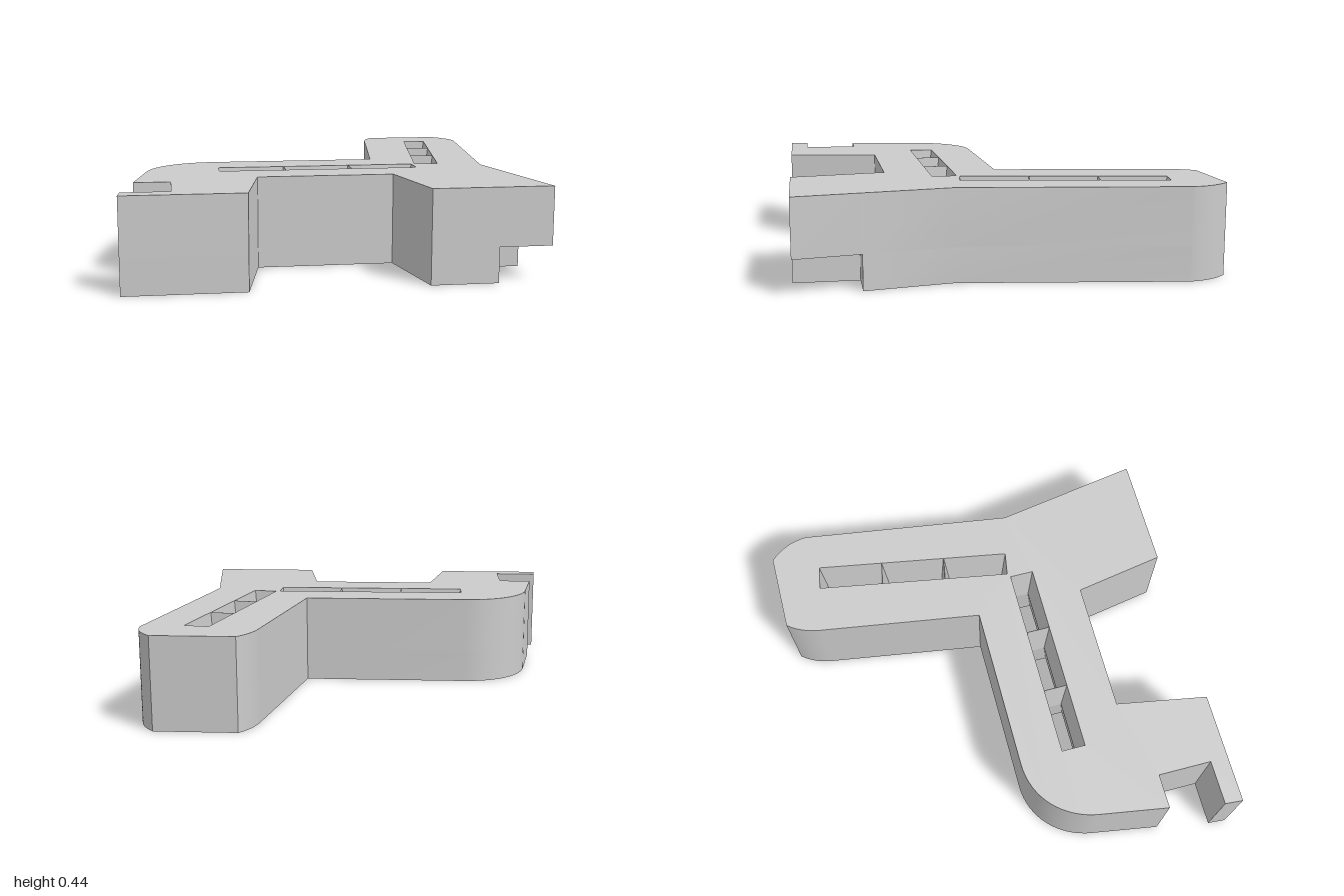
import * as THREE from 'three';
import { toCreasedNormals } from 'three/addons/utils/BufferGeometryUtils.js';

const H = 0.442;         // thickness of the slab
const NOTCH_H = 0.167;   // height of the notch under the rear foot

// Outline in plan; points are (x, z), counter-clockwise seen from above
function outline(notched) {
  const s = new THREE.Shape();
  const line = (...pts) => pts.forEach(([x, z]) => s.lineTo(x, -z));
  s.moveTo(-0.987, -1);
  line([-0.428, 1], [-0.348, 0.545], [0.311, 0.545], [0.391, 1]);
  if (notched) line([0.707, 1], [0.707, 0.69], [0.903, 0.69]);
  else line([0.956, 1], [0.903, 0.69]);
  line([0.831, 0.27], [0.987, -0.8]);
  s.quadraticCurveTo(0.985, 0.91, 0.896, 1);
  line([0.506, -1]);
  s.quadraticCurveTo(0.445, 0.93, 0.431, 0.82);
  line([0.306, -0.01], [-0.53, -0.01]);
  s.bezierCurveTo(-0.72, 0.01, -0.85, -0.13, -0.875, -0.3);
  line([-0.93, 0.64], [-0.758, 0.64], [-0.758, 0.91], [-0.98, 0.91]);
  return s;
}

// Rectangular cells of one slot, each a mouth ring and a narrower waist ring
function slotCells(cx, cz, angle) {
  const cells = [];
  const ring = (mid, hl, hw) =>
    [[-hl, -hw], [hl, -hw], [hl, hw], [-hl, hw]].map(([u, v]) =>
      new THREE.Vector2(mid + u, v).rotateAround(new THREE.Vector2(), angle)
        .add(new THREE.Vector2(cx, -cz)));
  for (let i = -1; i <= 1; i++) {
    const mid = i * 0.333;
    cells.push({ mouth: ring(mid, 0.1655, 0.06), waist: ring(mid, 0.144, 0.036) });
  }
  return cells;
}

// Wall between two matching closed rings, facing outwards for counter-clockwise rings
function wall(lower, y0, upper, y1, inward = false) {
  const pos = [];
  lower.forEach((a, i) => {
    const j = (i + 1) % lower.length;
    const b = lower[j];
    const A = [a.x, y0, -a.y], B = [b.x, y0, -b.y];
    const C = [upper[j].x, y1, -upper[j].y], D = [upper[i].x, y1, -upper[i].y];
    pos.push(...(inward ? [A, C, B, A, D, C] : [A, B, C, A, C, D]).flat());
  });
  const g = new THREE.BufferGeometry();
  g.setAttribute('position', new THREE.Float32BufferAttribute(pos, 3));
  return toCreasedNormals(g, 0.5);
}

// Flat horizontal face
function cap(shape, y, down = false) {
  const g = new THREE.ShapeGeometry(shape, 16);
  if (down) {
    const idx = g.index.array;
    for (let i = 0; i < idx.length; i += 3) [idx[i], idx[i + 1]] = [idx[i + 1], idx[i]];
  }
  g.rotateX(-Math.PI / 2).translate(0, y, 0);
  g.computeVertexNormals();
  return g;
}

export function createModel() {
  const grey = new THREE.MeshStandardMaterial({ color: 0xcccccc });
  grey.name = 'grey';
  const model = new THREE.Group();
  model.name = 'benchEndBracket';
  const add = (name, geometry) => {
    const mesh = new THREE.Mesh(geometry, grey);
    mesh.name = name;
    model.add(mesh);
  };

  const full = outline(false), notched = outline(true);

  // Outer walls, split at the notch height
  const fullRing = full.getPoints(16), notchedRing = notched.getPoints(16);
  add('lowerWall', wall(notchedRing, 0, notchedRing, NOTCH_H));
  add('upperWall', wall(fullRing, NOTCH_H, fullRing, H));

  // Slots in the seat and the back, with walls pinched in at mid height
  const cells = [
    ...slotCells(-0.019, 0.2675, 0),
    ...slotCells(0.645, -0.287, Math.atan2(0.98, 0.17)),
  ];
  cells.forEach(({ mouth, waist }) => {
    const hole = new THREE.Path([...mouth].reverse());
    full.holes.push(hole);
    notched.holes.push(hole);
    add('slotLowerWall', wall(mouth, 0, waist, H / 2, true));
    add('slotUpperWall', wall(waist, H / 2, mouth, H, true));
  });

  // Broad faces
  add('topFace', cap(full, H));
  add('bottomFace', cap(notched, 0, true));

  // Ceiling of the foot notch
  const ceiling = new THREE.Shape([[0.707, -1], [0.956, -1], [0.903, -0.69], [0.707, -0.69]]
    .map(([x, y]) => new THREE.Vector2(x, y)));
  add('footNotchCeiling', cap(ceiling, NOTCH_H, true));

  return model;
}
